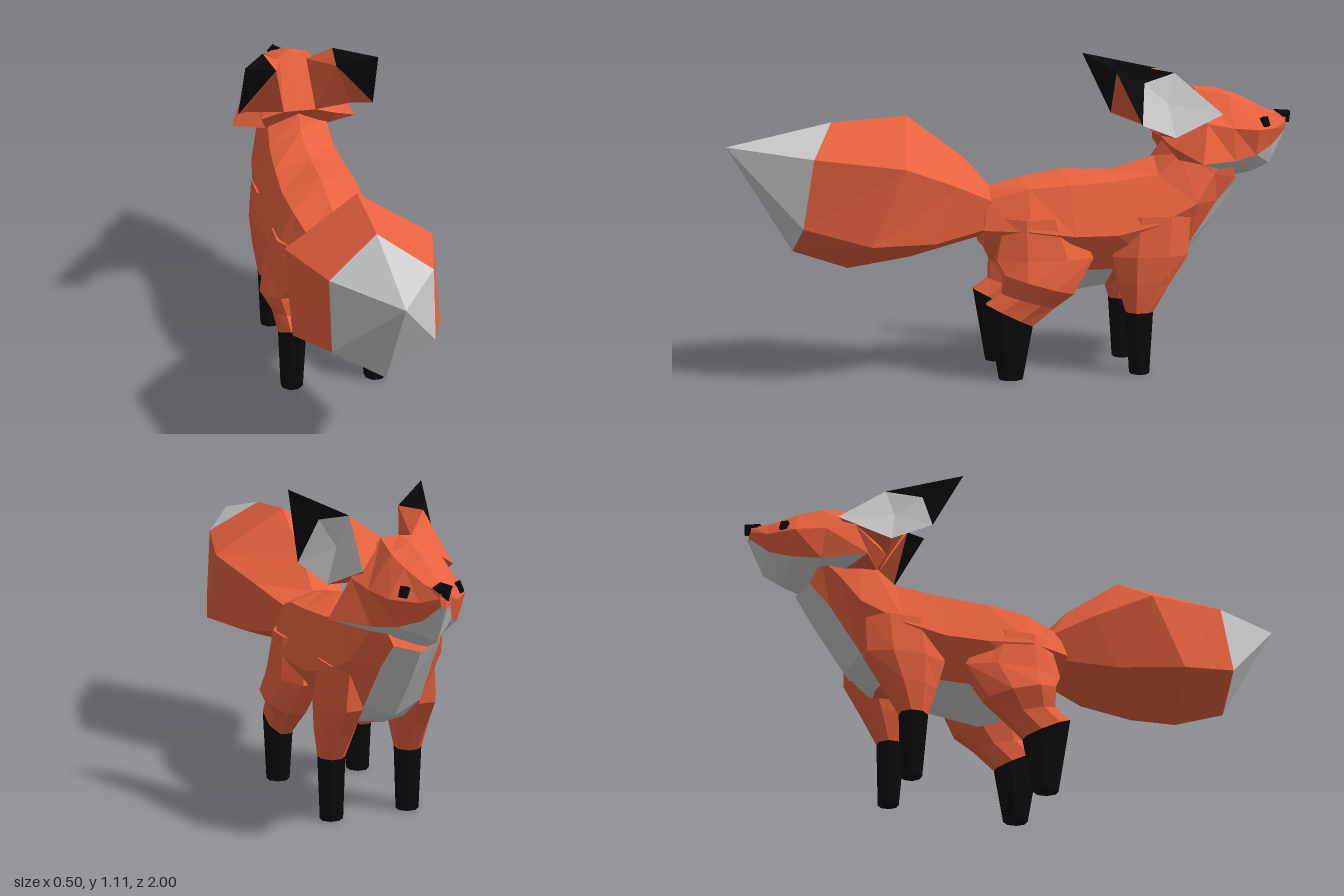
import * as THREE from 'three';

const mat = (color) => new THREE.MeshStandardMaterial({ color, flatShading: true, side: THREE.DoubleSide });
const materials = { Fur: mat(0xe8623f), Pale: mat(0xcccccc), Dark: mat(0x0a0a0a) };

// One mesh per colour from a list of { colour, tri: [a, b, c] }, turned outward by signed volume
function facets(name, faces) {
  const group = new THREE.Group();
  group.name = name;
  let volume = 0;
  for (const { tri: [a, b, c] } of faces) {
    volume += new THREE.Vector3(...a).dot(new THREE.Vector3(...b).cross(new THREE.Vector3(...c)));
  }
  for (const colour of Object.keys(materials)) {
    const pts = faces.filter((f) => f.colour === colour)
      .flatMap(({ tri: [a, b, c] }) => (volume < 0 ? [a, c, b] : [a, b, c])).flat();
    if (!pts.length) continue;
    const geo = new THREE.BufferGeometry();
    geo.setAttribute('position', new THREE.Float32BufferAttribute(pts, 3));
    geo.computeVertexNormals();
    const mesh = new THREE.Mesh(geo, materials[colour]);
    mesh.name = name + colour;
    group.add(mesh);
  }
  return group;
}

// Skin closed rings of equal length, capping both ends; colourOf(row, column) picks the colour
function loft(name, rings, colourOf) {
  const faces = [];
  const n = rings[0].length;
  for (let i = 0; i < rings.length - 1; i++) {
    for (let j = 0; j < n; j++) {
      const k = (j + 1) % n, colour = colourOf(i, j);
      faces.push({ colour, tri: [rings[i][j], rings[i][k], rings[i + 1][k]] });
      faces.push({ colour, tri: [rings[i][j], rings[i + 1][k], rings[i + 1][j]] });
    }
  }
  const first = rings[0], last = rings[rings.length - 1];
  for (let j = 1; j < n - 1; j++) {
    faces.push({ colour: colourOf(0, 0), tri: [first[0], first[j + 1], first[j]] });
    faces.push({ colour: colourOf(rings.length - 2, 0), tri: [last[0], last[j], last[j + 1]] });
  }
  return facets(name, faces);
}

const flip = ([x, y, z]) => [-x, y, z];
// Complete a half section that runs from top centre to bottom centre
const whole = (half) => [...half, ...half.slice(1, -1).reverse().map(flip)];

// Horizontal leg ring, tilted so that the rear is higher
function legRing(cx, y, cz, rx, rz, tilt = 0) {
  return Array.from({ length: 8 }, (_, i) => {
    const a = (i + 0.5) * Math.PI / 4, s = 1.08;
    const dz = Math.sin(a) * rz * s;
    return [cx + Math.cos(a) * rx * s, y + dz * tilt, cz + dz];
  });
}

export function createModel() {
  const model = new THREE.Group();
  model.name = 'fox';

  // Tail: six-sided, swelling from the root, with a pale tip
  const tail = [
    [[0, .66, .09], [.1, .61, .08], [.1, .52, .11], [0, .48, .13]],
    [[0, .76, .18], [.17, .675, .22], [.18, .485, .3], [0, .415, .37]],
    [[0, .91, .38], [.25, .75, .41], [.25, .49, .525], [0, .38, .59]],
    [[0, .89, .64], [.17, .78, .71], [.17, .545, .75], [0, .445, .78]],
    [[0, .81, 1], [0, .81, 1], [0, .81, 1], [0, .81, 1]],
  ].map(whole);
  model.add(loft('tail', tail, (i) => (i === 3 ? 'Pale' : 'Fur')));

  // Body and neck, rump to throat, with pale belly and chest
  const body = [
    [[0, .66, .1], [.1, .62, .11], [.14, .52, .13], [.08, .45, .12], [0, .43, .1]],
    [[0, .69, -.02], [.13, .66, -.03], [.2, .52, -.02], [.14, .38, .02], [0, .37, .02]],
    [[0, .715, -.16], [.14, .67, -.17], [.205, .5, -.18], [.12, .37, -.11], [0, .27, -.15]],
    [[0, .71, -.34], [.13, .68, -.34], [.2, .5, -.33], [.12, .37, -.33], [0, .295, -.33]],
    [[0, .755, -.5], [.12, .7, -.49], [.19, .53, -.47], [.11, .36, -.5], [0, .35, -.52]],
    [[0, .81, -.53], [.11, .77, -.57], [.165, .6, -.62], [.1, .44, -.6], [0, .4, -.62]],
    [[0, .87, -.55], [.11, .8, -.62], [.13, .7, -.69], [.09, .6, -.71], [0, .56, -.745]],
    [[0, .9, -.6], [.1, .82, -.68], [.11, .76, -.75], [.08, .68, -.78], [0, .66, -.81]],
  ].map(whole);
  model.add(loft('body', body, (i, j) => ((j === 3 || j === 4) && i !== 3 && i > 0 ? 'Pale' : 'Fur')));

  // Head, nape to muzzle, with flared cheeks and a pale jaw
  const head = [
    [[0, .83, -.51], [.06, .83, -.51], [.14, .8, -.53], [.12, .75, -.56], [0, .74, -.6]],
    [[0, 1, -.63], [.06, .995, -.63], [.17, .88, -.65], [.235, .745, -.62], [0, .72, -.72]],
    [[0, .995, -.72], [.08, .97, -.75], [.155, .86, -.75], [.15, .745, -.76], [0, .68, -.8]],
    [[0, .965, -.81], [.07, .94, -.83], [.13, .85, -.85], [.1, .76, -.85], [0, .69, -.86]],
    [[0, .91, -.92], [.04, .9, -.925], [.065, .85, -.93], [.05, .79, -.92], [0, .72, -.925]],
    [[0, .9, -.98], [.015, .89, -.98], [.02, .87, -.98], [.015, .845, -.98], [0, .84, -.985]],
  ].map(whole);
  model.add(loft('head', head, (i, j) => ((j === 3 || j === 4) && i > 0 ? 'Pale' : 'Fur')));

  // Nose
  const nose = [
    [[0, .912, -.94], [.035, .9, -.955], [0, .865, -.98]],
    [[0, .908, -1], [.008, .9, -1], [0, .865, -.998]],
  ].map(whole);
  model.add(loft('nose', nose, () => 'Dark'));

  // Ears: swept back, pale hollow facing outward, dark tip
  const p = {
    tip: [.24, 1.105, -.29], outer: [.25, .885, -.4], top: [.13, 1.055, -.54], back: [.11, 1.045, -.39],
    front: [.155, .91, -.71], low: [.2, .835, -.53], hollow: [.185, 1.025, -.42], cup: [.16, .95, -.51],
    crown: [.05, .99, -.62], nape: [.06, .83, -.51],
  };
  const earFaces = [
    ['Dark', 'tip outer back'], ['Dark', 'tip back top'], ['Dark', 'tip top hollow'], ['Dark', 'tip hollow outer'],
    ['Pale', 'hollow top cup'], ['Pale', 'top front cup'], ['Pale', 'front low cup'],
    ['Pale', 'low outer cup'], ['Pale', 'outer hollow cup'],
    ['Fur', 'back outer low'], ['Fur', 'back low nape'], ['Fur', 'back nape crown'],
    ['Fur', 'back crown top'], ['Fur', 'top crown front'], ['Fur', 'low front nape'], ['Fur', 'nape front crown'],
  ];
  for (const [side, mirror] of [['left', (v) => v], ['right', flip]]) {
    model.add(facets(side + 'Ear', earFaces.map(([colour, keys]) => ({
      colour, tri: keys.split(' ').map((k) => mirror(p[k])),
    }))));

    // Eye
    const sign = side === 'left' ? 1 : -1;
    const eye = new THREE.Mesh(new THREE.BoxGeometry(.02, .035, .026), materials.Dark);
    eye.name = side + 'Eye';
    eye.position.set(sign * .092, .875, -.88);
    eye.rotation.set(0, sign * .6, sign * .4);
    model.add(eye);

    // Front leg: shoulder tapering into a dark stocking
    const frontLeg = [
      legRing(.125, .56, -.47, .06, .13), legRing(.13, .42, -.455, .07, .135),
      legRing(.135, .32, -.435, .06, .09), legRing(.14, .22, -.42, .043, .046),
      legRing(.14, 0, -.422, .037, .033),
    ].map((r) => r.map(mirror));
    model.add(loft(side + 'FrontLeg', frontLeg, (i) => (i === 3 ? 'Dark' : 'Fur')));

    // Hind leg: broad thigh, hock pushed back, dark stocking
    const hindLeg = [
      legRing(.12, .56, -.06, .07, .12), legRing(.14, .42, -.08, .075, .17),
      legRing(.165, .335, -.055, .075, .12, .3), legRing(.155, .275, -.02, .05, .09, .3),
      legRing(.152, .225, .045, .045, .08, .5), legRing(.155, 0, .04, .038, .04),
    ].map((r) => r.map(mirror));
    model.add(loft(side + 'HindLeg', hindLeg, (i) => (i === 4 ? 'Dark' : 'Fur')));
  }
  return model;
}
